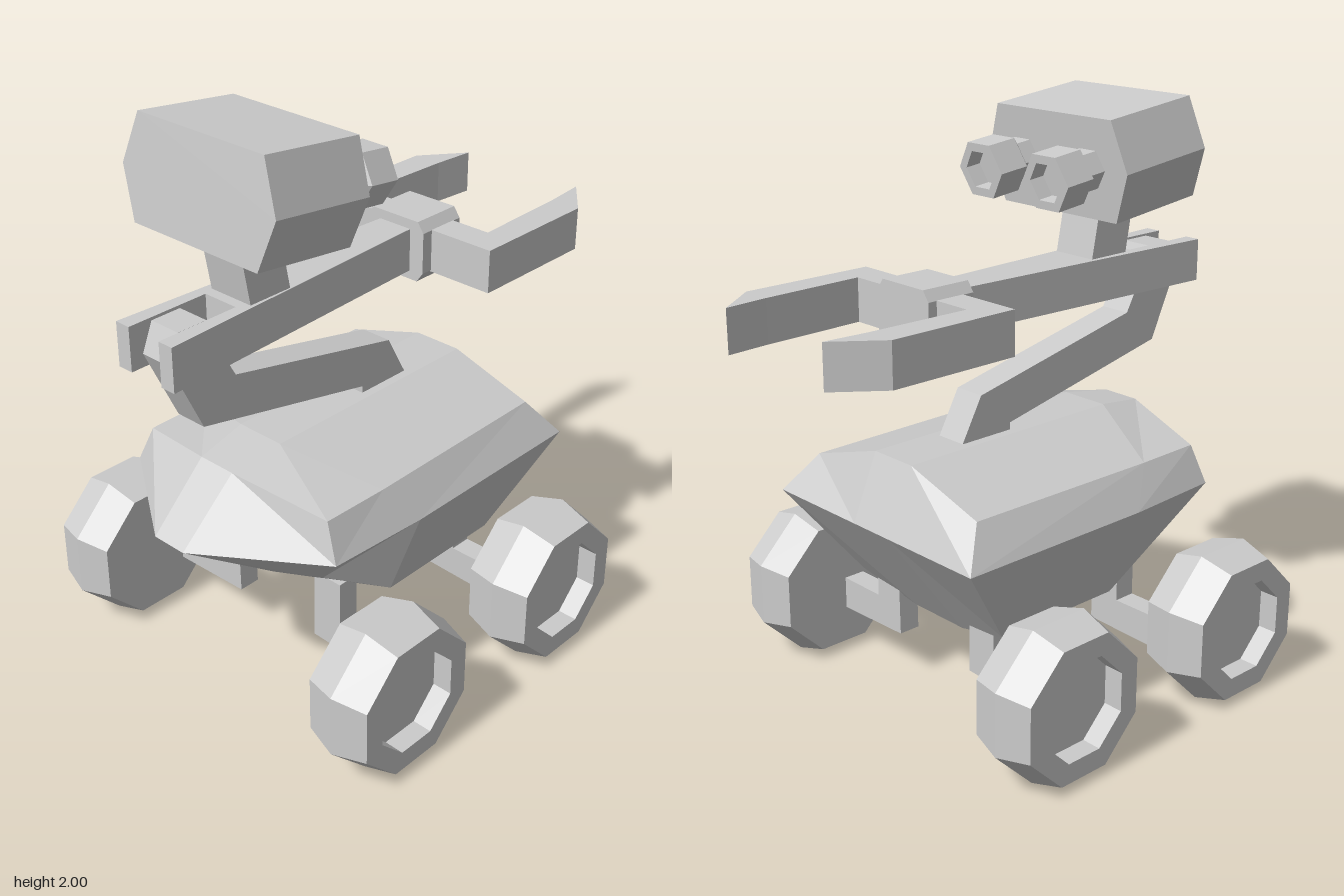
import * as THREE from 'three';

const material = new THREE.MeshStandardMaterial({ color: 0xcccccc, flatShading: true });

function part(name, geometry, parent) {
  const mesh = new THREE.Mesh(geometry, material);
  mesh.name = name;
  parent.add(mesh);
  return mesh;
}

// Extrude a closed outline, centred on the extrusion axis
function slab(points, depth) {
  const shape = new THREE.Shape(points.map(([x, y]) => new THREE.Vector2(x, y)));
  return new THREE.ExtrudeGeometry(shape, { depth, bevelEnabled: false }).translate(0, 0, -depth / 2);
}
// Outline given as [z, y], extruded across x
const sideSlab = (points, width) => slab(points, width).rotateY(-Math.PI / 2);
// Outline given as [x, z], extruded in height
const planSlab = (points, height) => slab(points, height).rotateX(Math.PI / 2);
// Half outline on +x completed by its mirror image
const mirrored = (half) => [...half, ...half.map(([x, y]) => [-x, y]).reverse()];

const lathe = (profile, sides, start) =>
  new THREE.LatheGeometry(profile.map(([r, y]) => new THREE.Vector2(r, y)), sides, start);

// Faceted hull: half cross-sections (top, shoulder, middle, lower, bottom) lofted along z
function hullGeometry() {
  const sections = [
    [[0.09, 0.925, -0.445], [0.4, 0.83, -0.445], [0.482, 0.7, -0.545], [0.36, 0.37, -0.3], [0.12, 0.3, -0.26]],
    [[0.09, 0.925, 0.435], [0.41, 0.83, 0.3], [0.482, 0.7, 0.2], [0.36, 0.37, 0.2], [0.12, 0.3, 0.2]],
    [[0.07, 0.896, 0.626], [0.405, 0.83, 0.546], [0.46, 0.7, 0.567], [0.27, 0.49, 0.43], [0.06, 0.42, 0.45]],
  ];
  const positions = [];
  const flipX = ([x, y, z]) => [-x, y, z];
  const quad = (corners, flip) => {
    const [a, b, c, d] = flip ? [...corners].reverse() : corners;
    positions.push(...a, ...b, ...c, ...a, ...c, ...d);
  };
  const rings = sections.map((s) => [...s, ...s.map(flipX).reverse()]);
  for (let s = 0; s < 2; s++) {
    for (let i = 0; i < 10; i++) {
      const j = (i + 1) % 10;
      quad([rings[s][i], rings[s + 1][i], rings[s + 1][j], rings[s][j]]);
    }
  }
  // End caps bulge to a short middle edge
  const cap = ([T, S, M, L, B], m, rear) => {
    for (const face of [[T, m, M, S], [m, B, L, M]]) {
      quad(face, rear);
      quad(face.map(flipX), !rear);
    }
    quad([flipX(T), flipX(m), m, T], rear);
    quad([flipX(m), flipX(B), B, m], rear);
  };
  cap(sections[0], [0.085, 0.7, -0.545], true);
  cap(sections[2], [0.065, 0.7, 0.838], false);
  const geometry = new THREE.BufferGeometry();
  geometry.setAttribute('position', new THREE.Float32BufferAttribute(positions, 3));
  geometry.computeVertexNormals();
  return geometry;
}

export function createModel() {
  const model = new THREE.Group();
  model.name = 'rover';

  part('hull', hullGeometry(), model).position.x = 0.007;

  // Wheels with recessed hubs, and their bent axles
  const wheelGeometry = lathe([[0, -0.12], [0.252, -0.12], [0.288, 0], [0.252, 0.12],
    [0.176, 0.12], [0.176, 0.05], [0, 0.05]], 8, Math.PI / 8);
  const axleOutline = [[0.185, 0.44], [0.3, 0.44], [0.3, 0.285], [0.5, 0.285], [0.5, 0.167], [0.18, 0.178]];
  for (const side of [1, -1]) {
    for (const [end, wheelZ, axleZ] of [['front', 0.48, 0.335], ['rear', -0.305, -0.25]]) {
      const wheel = part(end + 'Wheel', wheelGeometry, model);
      wheel.position.set(side * 0.611, 0.268, wheelZ);
      wheel.rotation.z = -side * Math.PI / 2;
      const axle = slab(axleOutline.map(([x, y]) => [side * x, y]), 0.08);
      part(end + 'Axle', axle, model).position.z = axleZ;
    }
  }

  // Arm assembly, very slightly off the centre line
  const arm = new THREE.Group();
  arm.name = 'arm';
  arm.position.x = 0.008;
  model.add(arm);

  part('lowerArm', sideSlab([[-0.2, 0.92], [-0.115, 1.075], [0.583, 1.225], [0.63, 1.31], [0.69, 1.45],
    [0.8, 1.45], [0.84, 1.355], [0.72, 1.1], [0.015, 0.95], [0.015, 0.92]], 0.116), arm);

  // Tapering beam with a fork around the elbow
  part('forearm', planSlab(mirrored([[0.065, -0.22], [0.122, 0.88], [0.066, 0.88], [0.066, 0.58]]), 0.15), arm)
    .position.y = 1.38;

  part('wrist', slab([[0.123, 0.072], [0.098, 0.107], [-0.098, 0.107], [-0.123, 0.072],
    [-0.123, -0.072], [-0.098, -0.107], [0.098, -0.107], [0.123, -0.072]], 0.185), arm)
    .position.set(0, 1.382, -0.298);

  // Crossbar and two fingers with hooked tips
  part('gripper', planSlab(mirrored([[0.362, -0.248], [0.362, -0.725], [0.242, -0.88],
    [0.255, -0.725], [0.266, -0.357]]), 0.15), arm).position.set(0.004, 1.38, 0);

  part('neck', sideSlab([[0.54, 1.44], [0.596, 1.75], [0.434, 1.75], [0.374, 1.44]], 0.17), arm)
    .position.x = 0.006;

  // Tilted head with two hexagonal eyes
  const head = new THREE.Group();
  head.name = 'head';
  head.position.set(0.0125, 1.81, 0.4685);
  head.rotation.x = -0.115;
  model.add(head);

  part('headShell', slab(mirrored([[0.263, 0.171], [0.323, 0], [0.263, -0.171]]), 0.38), head);

  const eyeGeometry = lathe([[0, 0.15], [0.072, 0.15], [0.072, 0.25], [0.103, 0.275], [0.103, 0.39],
    [0.07, 0.39], [0.07, 0.33], [0, 0.33]], 6, Math.PI / 2);
  for (const side of [1, -1]) {
    const eye = part('eye', eyeGeometry, head);
    eye.position.x = side * 0.153;
    eye.rotation.x = -Math.PI / 2;
  }

  return model;
}
